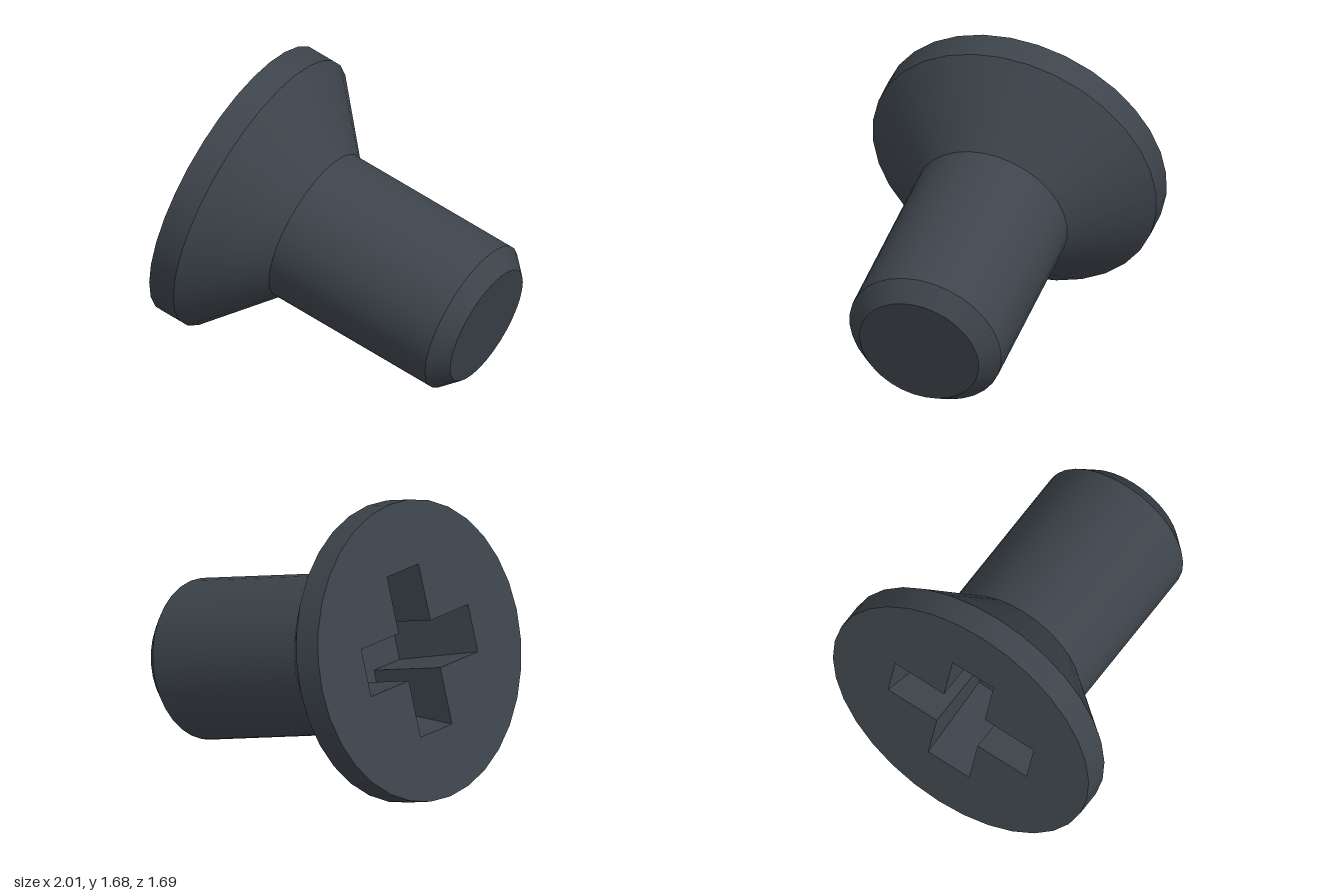
import * as THREE from 'three';

const SIDES = 32;
const HEAD_R = 0.847, SHAFT_R = 0.453, TIP_R = 0.355;
const RECESS_DEPTH = 0.5;

// Outline of a cross with the given arm length and half width, counter-clockwise
function crossPoints(arm, half) {
  const points = [];
  for (let i = 0; i < 4; i++) {
    for (const [x, y] of [[arm, -half], [arm, half], [half, half]]) {
      points.push(new THREE.Vector2(x, y).rotateAround(new THREE.Vector2(), i * Math.PI / 2));
    }
  }
  return points;
}

// Inward-facing walls between the opening and the smaller floor outline
function wallGeometry(top, floor, depth) {
  const positions = [];
  top.forEach((a, i) => {
    const j = (i + 1) % top.length;
    const b = top[j], c = floor[j], d = floor[i];
    positions.push(a.x, a.y, 0, b.x, b.y, 0, c.x, c.y, -depth);
    positions.push(a.x, a.y, 0, c.x, c.y, -depth, d.x, d.y, -depth);
  });
  const geometry = new THREE.BufferGeometry();
  geometry.setAttribute('position', new THREE.Float32BufferAttribute(positions, 3));
  geometry.computeVertexNormals();
  return geometry;
}

export function createModel() {
  const steel = new THREE.MeshStandardMaterial({ color: 0x3d444b });
  steel.name = 'dark steel';

  const screw = new THREE.Group();
  screw.name = 'countersunkScrew';
  const add = (name, geometry) => {
    const mesh = new THREE.Mesh(geometry, steel);
    mesh.name = name;
    screw.add(mesh);
    return mesh;
  };

  // Turned sections, each [name, radius, depth, next radius, next depth] behind the head face
  const sections = [
    ['tipFace', 0, 1.707, TIP_R, 1.707],
    ['tipChamfer', TIP_R, 1.707, SHAFT_R, 1.604],
    ['shaft', SHAFT_R, 1.604, SHAFT_R, 0.54],
    ['countersink', SHAFT_R, 0.54, HEAD_R, 0.164],
    ['headRim', HEAD_R, 0.164, HEAD_R, 0],
  ];
  for (const [name, r0, s0, r1, s1] of sections) {
    const profile = [new THREE.Vector2(r0, -s0), new THREE.Vector2(r1, -s1)];
    add(name, new THREE.LatheGeometry(profile, SIDES).rotateX(Math.PI / 2));
  }

  // Head face with the cross-shaped opening
  const opening = crossPoints(0.465, 0.137);
  const floor = crossPoints(0.36, 0.137);
  const rim = [];
  for (let i = 0; i < SIDES; i++) {
    const angle = i * 2 * Math.PI / SIDES;
    rim.push(new THREE.Vector2(HEAD_R * Math.cos(angle), HEAD_R * Math.sin(angle)));
  }
  const face = new THREE.Shape(rim);
  face.holes.push(new THREE.Path(opening));
  add('headFace', new THREE.ShapeGeometry(face));

  // Drive recess: arm ends slope inward towards the floor
  add('recessWalls', wallGeometry(opening, floor, RECESS_DEPTH));
  add('recessFloor', new THREE.ShapeGeometry(new THREE.Shape(floor))).position.z = -RECESS_DEPTH;

  // Lay the screw down so that it rests on the head rim and the tip
  const axis = new THREE.Vector3(0.943, -0.2625, 0.2033).normalize();
  const up = new THREE.Vector3(0, 1, 0).addScaledVector(axis, -axis.y).normalize();
  const side = new THREE.Vector3().crossVectors(axis, up);
  screw.quaternion.setFromRotationMatrix(
    new THREE.Matrix4().makeBasis(side, up, axis.clone().negate()));
  screw.position.set(-0.725, 0.86, -0.015);

  const model = new THREE.Group();
  model.name = 'screw';
  model.add(screw);
  return model;
}
